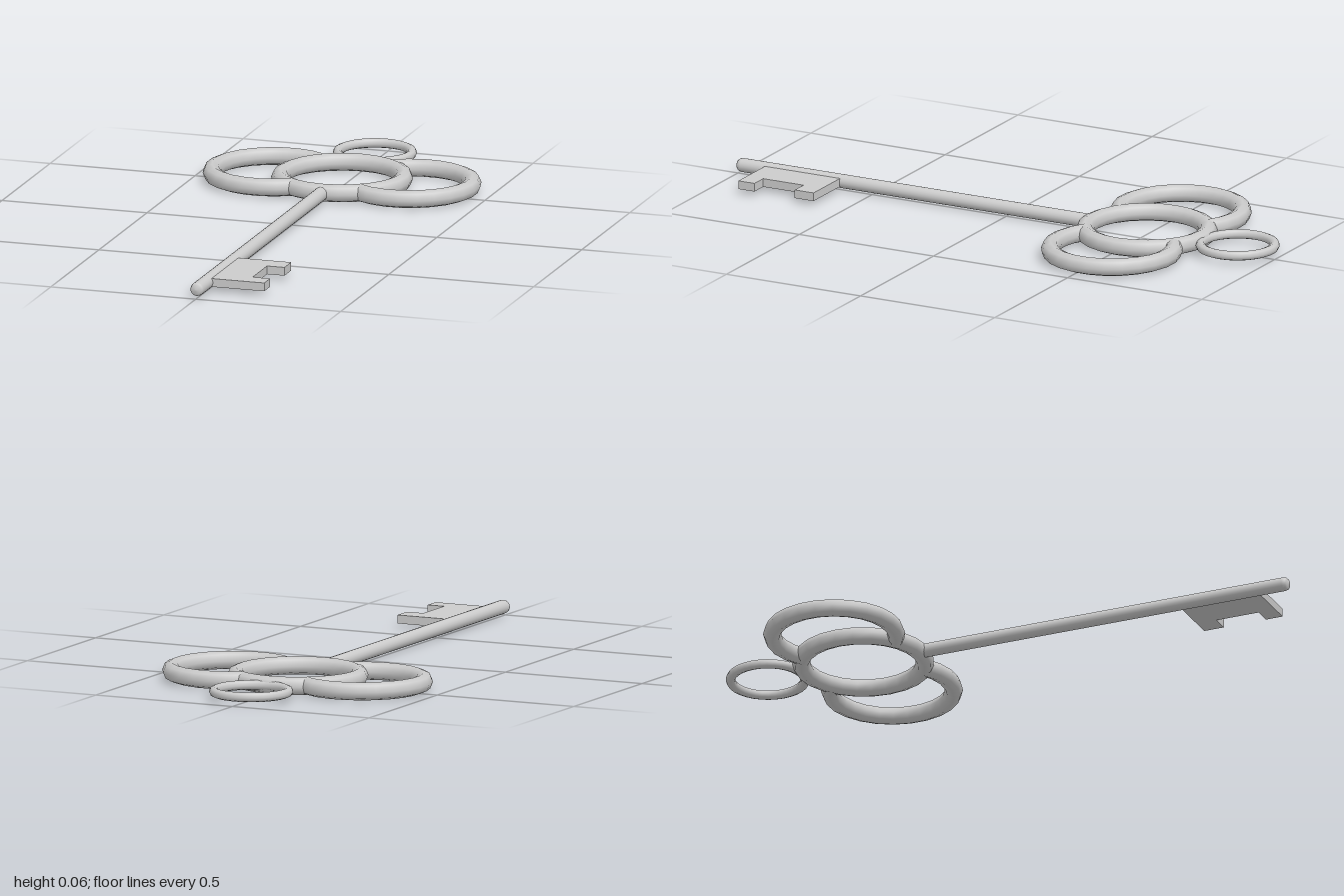
import * as THREE from 'three';

const Y = 0.03; // mid-height of the flat-lying key

export function createModel() {
  const key = new THREE.Group();
  key.name = 'key';
  const material = new THREE.MeshStandardMaterial({ color: 0xcccccc });

  const add = (name, geometry) => {
    const mesh = new THREE.Mesh(geometry, material);
    mesh.name = name;
    key.add(mesh);
    return mesh;
  };

  // Ring lying flat; an arc is centred on the +x direction
  const ring = (name, x, z, radius, tube, segments, arc = Math.PI * 2, turn = 0) => {
    const g = new THREE.TorusGeometry(radius, tube, 8, segments, arc);
    g.rotateZ(-arc / 2 + turn);
    g.rotateX(-Math.PI / 2);
    add(name, g).position.set(x, Y, z);
  };

  // Bow: full centre ring, with side rings ending inside its tube
  const bowZ = -0.522, bowR = 0.203, tube = 0.03, offset = 0.236;
  ring('centreRing', 0, bowZ, bowR, tube, 24);
  const arc = 2 * (Math.PI - Math.acos(offset / 2 / bowR));
  ring('leftRing', offset, bowZ, bowR, tube, 17, arc);
  ring('rightRing', -offset, bowZ, bowR, tube, 17, arc, Math.PI);

  // Small hanging loop behind the bow
  ring('hangingLoop', 0, -0.862, 0.122, 0.016, 32);

  // Shaft with a softly rounded tip
  const r = 0.023;
  const profile = [[0, -0.305], [r, -0.305], [r, 0.982], [r * 0.9, 0.992], [r * 0.65, 0.998], [0, 1]]
    .map(([x, y]) => new THREE.Vector2(x, y));
  const shaft = new THREE.LatheGeometry(profile, 20);
  shaft.rotateX(Math.PI / 2);
  add('shaft', shaft).position.y = Y;

  // Bit: flat plate with a notch between two teeth
  const outline = [[0.01, 0.61], [0.2, 0.61], [0.2, 0.68], [0.14, 0.68],
    [0.14, 0.83], [0.2, 0.83], [0.2, 0.89], [0.01, 0.89]]
    .map(([x, z]) => new THREE.Vector2(x, z));
  const thickness = 0.028;
  const bit = new THREE.ExtrudeGeometry(new THREE.Shape(outline), { depth: thickness, bevelEnabled: false });
  bit.rotateX(Math.PI / 2);
  add('bit', bit).position.y = Y + thickness / 2;

  return key;
}
